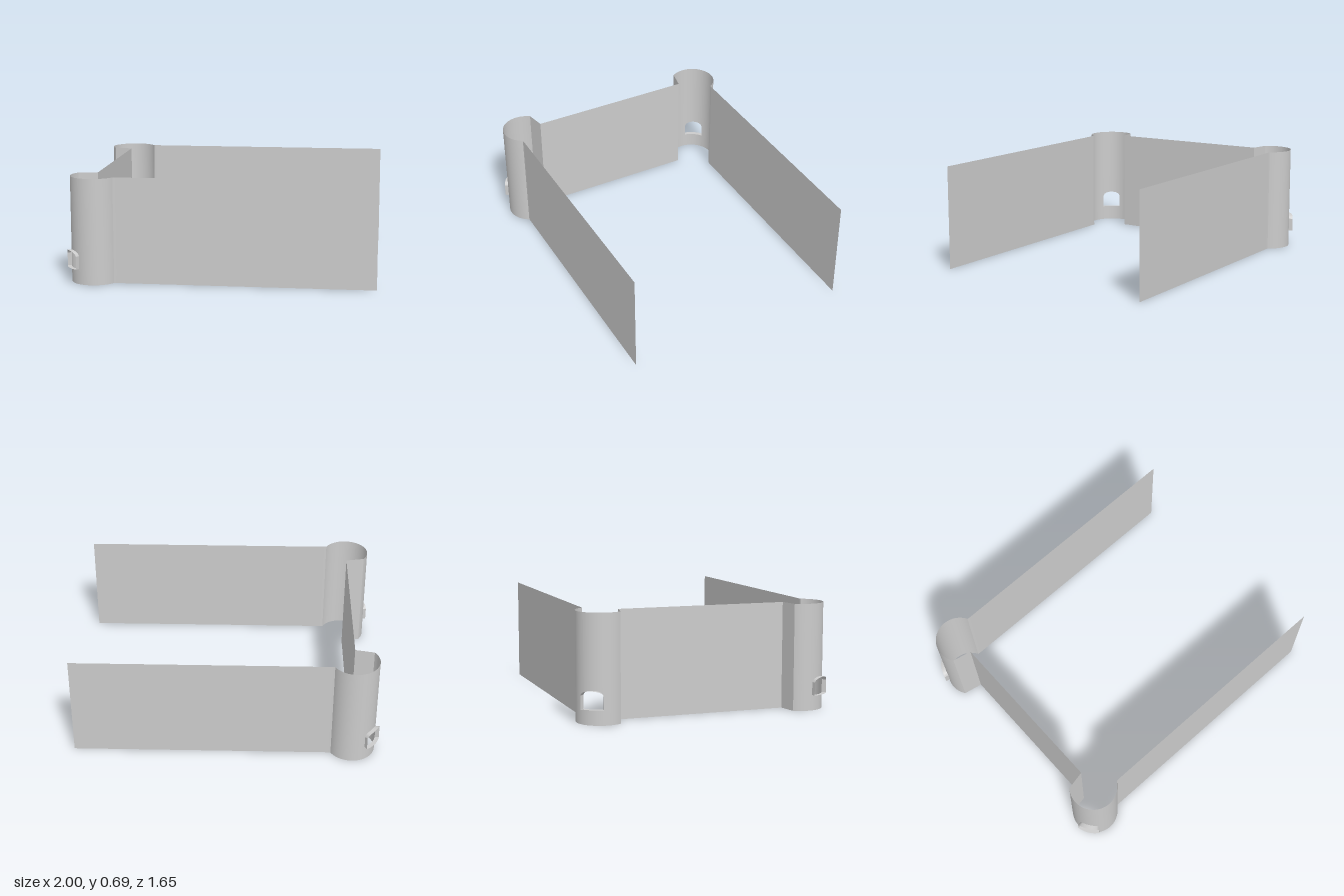
import * as THREE from 'three';

const H = 0.69;                          // wall height
const CX = -0.82, CZ = 0.672, R = 0.154; // corner tower centre and radius
const SIDE_Z = 0.745, BACK_X = -0.82, BACK_Z = 0.555;
const HOLE_A = 0.18, HOLE_B = 1.03, SILL = 0.1, SPRING = 0.185, CROWN = 0.215;

const material = new THREE.MeshStandardMaterial({ color: 0xcccccc, side: THREE.DoubleSide });

// Point on the tower: angle 0 faces -x, growing towards the side wall
const onTower = (a, y, r = R) => [CX - r * Math.cos(a), y, CZ + r * Math.sin(a)];

// Height of the arched opening at an angle
function archTop(a) {
  const t = (2 * (a - HOLE_A)) / (HOLE_B - HOLE_A) - 1;
  return SPRING + (CROWN - SPRING) * Math.sqrt(Math.max(0, 1 - t * t));
}

// Thin sheet between two rows of points
function ribbon(name, low, high) {
  const pos = [], index = [];
  low.forEach((p, i) => {
    pos.push(...p, ...high[i]);
    if (i) {
      const k = 2 * i;
      index.push(k - 2, k, k - 1, k - 1, k, k + 1);
    }
  });
  const g = new THREE.BufferGeometry();
  g.setAttribute('position', new THREE.Float32BufferAttribute(pos, 3));
  g.setIndex(index);
  g.computeVertexNormals();
  const mesh = new THREE.Mesh(g, material);
  mesh.name = name;
  return mesh;
}

const range = (a, b, n) => Array.from({ length: n + 1 }, (_, i) => a + ((b - a) * i) / n);

// Upright sheet along a plan path of [x, z] points
const wall = (name, path) =>
  ribbon(name, path.map(([x, z]) => [x, 0, z]), path.map(([x, z]) => [x, H, z]));

// Part of the round tower between two angles and two heights
const curved = (name, a, b, n, y0, y1) => {
  const angles = range(a, b, n);
  return ribbon(name, angles.map(t => onTower(t, y0(t))), angles.map(t => onTower(t, y1(t))));
};

function makeHalf() {
  const half = new THREE.Group();
  const start = -0.64, end = 2.64;
  const zero = () => 0, top = () => H;
  const [sx, , sz] = onTower(start, 0);
  const [ex, , ez] = onTower(end, 0);

  // Straight side wall and the short return to the back wall
  half.add(wall('sideWall', [[-0.67, SIDE_Z], [1, SIDE_Z]]));
  half.add(wall('towerToSideJoint', [[ex, ez], [-0.67, SIDE_Z]]));
  half.add(wall('towerReturn', [[BACK_X, BACK_Z], [sx, sz]]));

  // Round corner tower, left open around the arched hole
  half.add(curved('towerInner', start, HOLE_A, 12, zero, top));
  half.add(curved('towerBelowHole', HOLE_A, HOLE_B, 16, zero, () => SILL));
  half.add(curved('towerAboveHole', HOLE_A, HOLE_B, 16, archTop, top));
  half.add(curved('towerOuter', HOLE_B, end, 24, zero, top));

  // Projecting rim of the hole: sill, jambs and arch
  const rim = (name, pts) =>
    half.add(ribbon(name, pts.map(([a, y]) => onTower(a, y)), pts.map(([a, y]) => onTower(a, y, 0.181))));
  rim('holeSill', range(HOLE_A, HOLE_B, 12).map(a => [a, SILL]));
  rim('holeArch', range(HOLE_A, HOLE_B, 16).map(a => [a, archTop(a)]));
  for (const a of [HOLE_A, HOLE_B]) rim('holeJamb', [[a, SILL], [a, SPRING]]);
  return half;
}

export function createModel() {
  const model = new THREE.Group();
  model.name = 'walledEnclosure';

  const front = makeHalf();
  front.name = 'frontHalf';
  const back = makeHalf();
  back.name = 'backHalf';
  back.scale.z = -1;

  // Cross wall joining the two towers
  const crossWall = wall('crossWall', [[BACK_X, -BACK_Z], [BACK_X, BACK_Z]]);

  model.add(front, back, crossWall);
  return model;
}
